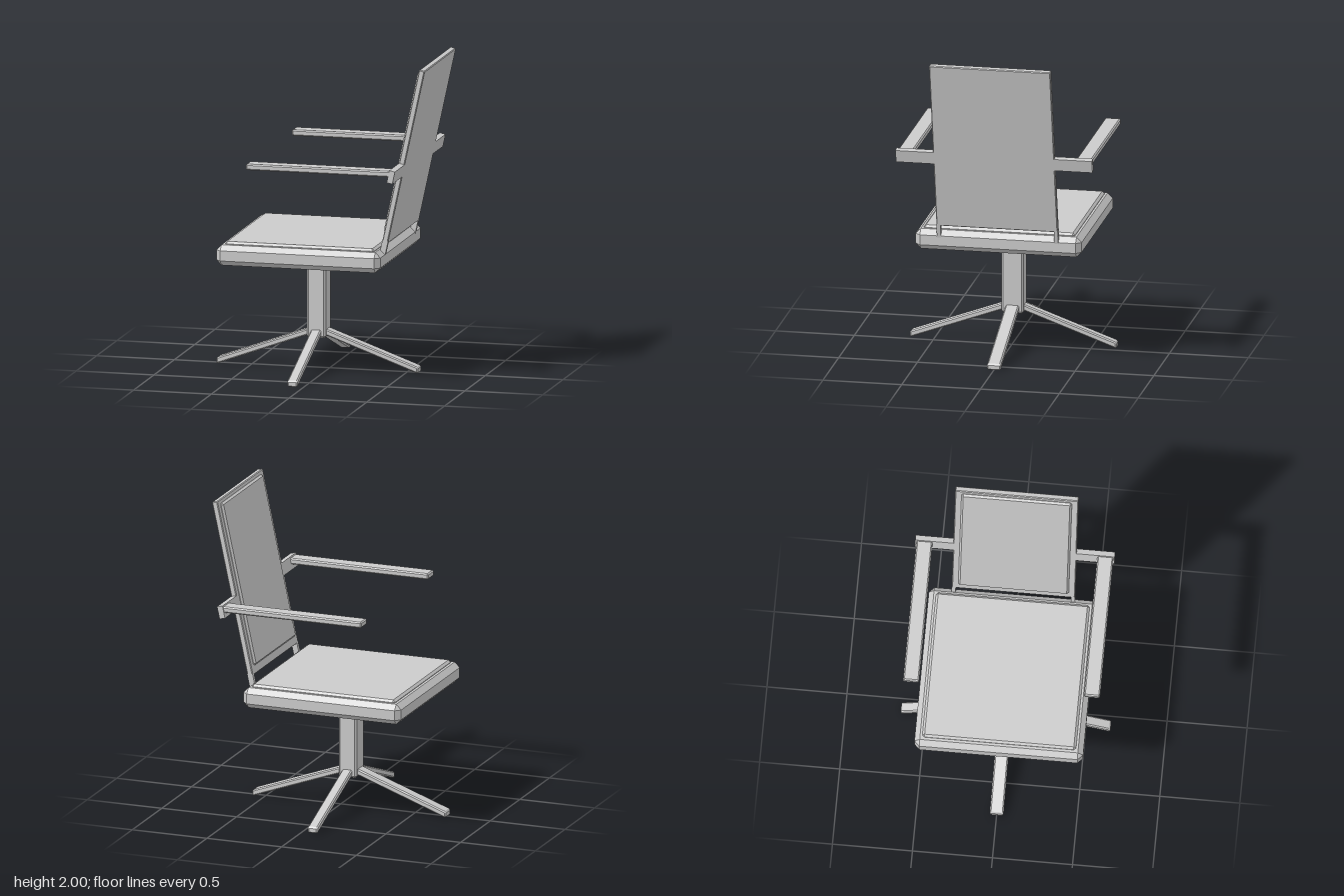
import * as THREE from 'three';
import { ConvexGeometry } from 'three/addons/geometries/ConvexGeometry.js';

const material = new THREE.MeshStandardMaterial({ color: 0xcccccc, flatShading: true });

// Box spanning the given ranges with every edge chamfered by c
function chamferBox([x0, x1], [y0, y1], [z0, z1], c) {
  const h = [(x1 - x0) / 2, (y1 - y0) / 2, (z1 - z0) / 2];
  const points = [];
  for (const sx of [-1, 1]) for (const sy of [-1, 1]) for (const sz of [-1, 1]) {
    for (let axis = 0; axis < 3; axis++) {
      const e = h.map((v, i) => (i === axis ? v : v - c));
      points.push(new THREE.Vector3(sx * e[0], sy * e[1], sz * e[2]));
    }
  }
  return new ConvexGeometry(points).translate((x0 + x1) / 2, (y0 + y1) / 2, (z0 + z1) / 2);
}

// Plain box spanning the given ranges
function box([x0, x1], [y0, y1], [z0, z1]) {
  return new THREE.BoxGeometry(x1 - x0, y1 - y0, z1 - z0)
    .translate((x0 + x1) / 2, (y0 + y1) / 2, (z0 + z1) / 2);
}

function add(parent, name, geometry) {
  const mesh = new THREE.Mesh(geometry, material);
  mesh.name = name;
  parent.add(mesh);
  return mesh;
}

// Leg along +x, sheared so that it slopes down to the floor
function legGeometry(reach, width) {
  const g = chamferBox([0.03, reach], [0, 0.04], [-width / 2, width / 2], 0.008);
  const p = g.attributes.position;
  for (let i = 0; i < p.count; i++) p.setY(i, p.getY(i) + (reach - p.getX(i)) * 0.363);
  g.computeVertexNormals();
  return g;
}

export function createModel() {
  const chair = new THREE.Group();
  chair.name = 'swivelChair';

  // Seat and its thin cushion
  add(chair, 'seat', chamferBox([-0.6, 0.455], [0.72, 0.85], [-0.527, 0.527], 0.033));
  add(chair, 'seatCushion', chamferBox([-0.55, 0.41], [0.836, 0.868], [-0.48, 0.48], 0.014));

  // Pedestal: column and four sloping legs
  const base = new THREE.Group();
  base.name = 'base';
  base.position.x = -0.07;
  chair.add(base);
  add(base, 'column', chamferBox([-0.06, 0.06], [0.2, 0.735], [-0.07, 0.07], 0.012));
  for (let i = 0; i < 4; i++) {
    const alongX = i % 2 === 0;
    const leg = add(base, 'leg', legGeometry(alongX ? 0.648 : 0.655, alongX ? 0.086 : 0.066));
    leg.rotation.y = i * Math.PI / 2;
  }

  // Reclined backrest, built upright about its lower front edge
  const back = new THREE.Group();
  back.name = 'backrest';
  back.position.set(0.42, 0.82, 0);
  back.rotation.z = -0.2128;
  chair.add(back);
  add(back, 'backPanel', chamferBox([0, 0.037], [0.077, 1.207], [-0.385, 0.385], 0.005));
  add(back, 'backCushion', chamferBox([-0.015, 0.015], [0.13, 1.183], [-0.345, 0.345], 0.012));

  // Posts, arm brackets and armrests on both sides
  for (const s of [-1, 1]) {
    const side = (a, b) => (s > 0 ? [a, b] : [-b, -a]);
    add(back, 'backPost', box([0, 0.037], [-0.03, 0.09], side(0.36, 0.385)));
    add(back, 'armBracket', box([0, 0.037], [0.515, 0.595], side(0.37, 0.623)));
    add(chair, 'armrest', chamferBox([-0.38, 0.55], [1.355, 1.394], side(0.515, 0.615), 0.008));
  }
  return chair;
}
